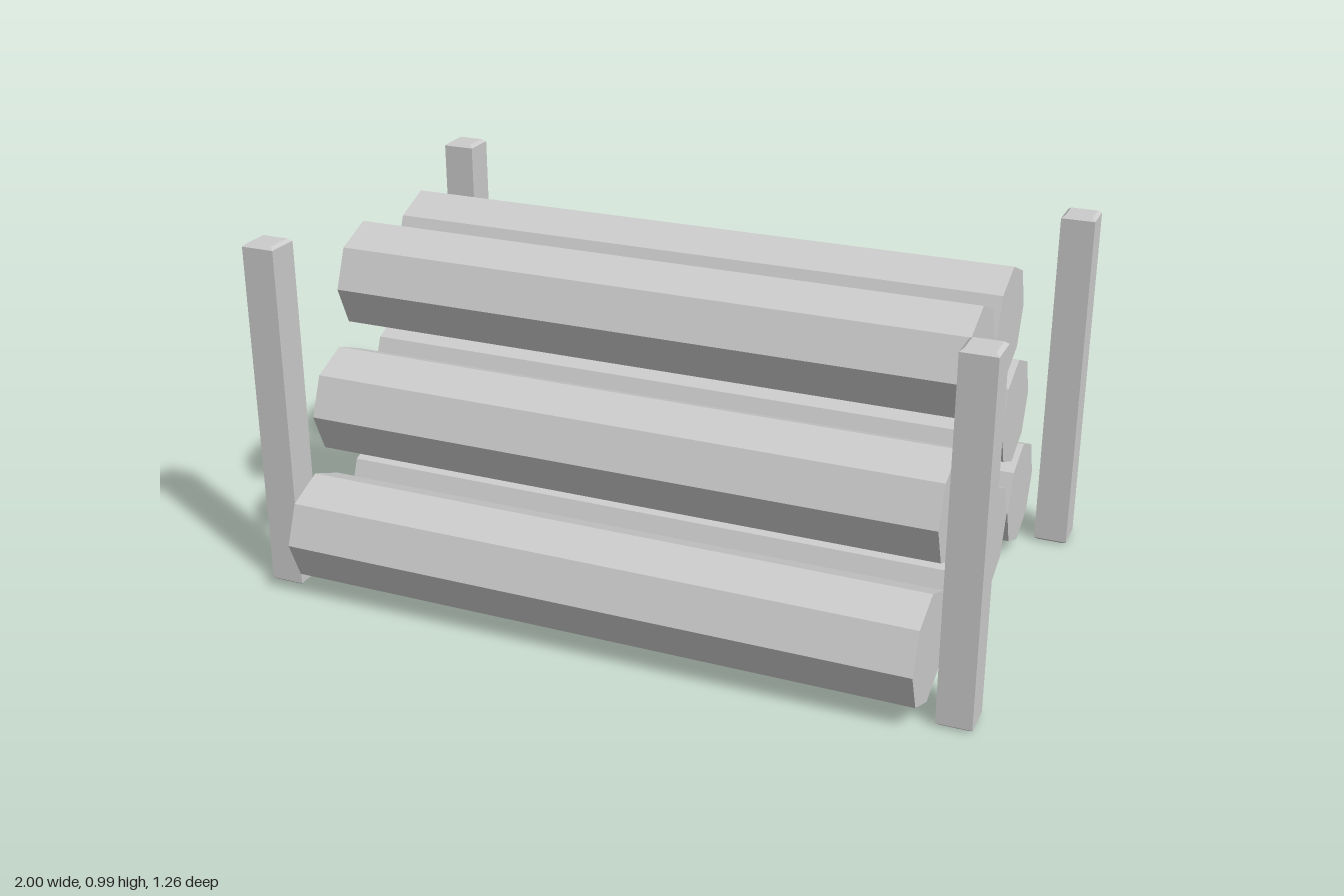
import * as THREE from 'three';

const material = new THREE.MeshStandardMaterial({ color: 0xcccccc, flatShading: true });

// Prism lying along x, with a corner pointing straight up
function prismAlongX(name, radius, sides, x0, x1, y, z) {
  const geometry = new THREE.CylinderGeometry(radius, radius, x1 - x0, sides);
  geometry.rotateZ(Math.PI / 2);
  const mesh = new THREE.Mesh(geometry, material);
  mesh.name = name;
  mesh.position.set((x0 + x1) / 2, y, z);
  return mesh;
}

// Square post with chamfered ends
function postGeometry(halfWidth, height, inset, bevel) {
  const profile = [
    [0, 0],
    [halfWidth - inset, 0],
    [halfWidth, bevel],
    [halfWidth, height - bevel],
    [halfWidth - inset, height],
    [0, height],
  ].map(([r, y]) => new THREE.Vector2(r * Math.SQRT2, y));
  return new THREE.LatheGeometry(profile, 4, Math.PI / 4);
}

export function createModel() {
  const model = new THREE.Group();
  model.name = 'logStack';

  // Three stacked rows of octagonal logs
  const rows = [
    { y: 0.177, count: 4, z: 0.006 },
    { y: 0.49, count: 3, z: 0 },
    { y: 0.803, count: 2, z: -0.005 },
  ];
  const logs = new THREE.Group();
  logs.name = 'logs';
  for (const { y, count, z } of rows) {
    for (let i = 0; i < count; i++) {
      const logZ = z + (i - (count - 1) / 2) * 0.3145;
      logs.add(prismAlongX('log', 0.151, 8, -0.872, 0.869, y, logZ));
    }
  }
  model.add(logs);

  // Short four-sided branch stub on the end of the rear bottom log
  model.add(prismAlongX('branchStub', 0.057, 4, -0.99, -0.8, 0.177, -0.468));

  // Four corner posts
  const post = postGeometry(0.0465, 0.988, 0.01, 0.008);
  for (const x of [-0.9535, 0.9535]) {
    for (const z of [0.488, -0.58]) {
      const mesh = new THREE.Mesh(post, material);
      mesh.name = 'post';
      mesh.position.set(x, 0, z);
      model.add(mesh);
    }
  }
  return model;
}
